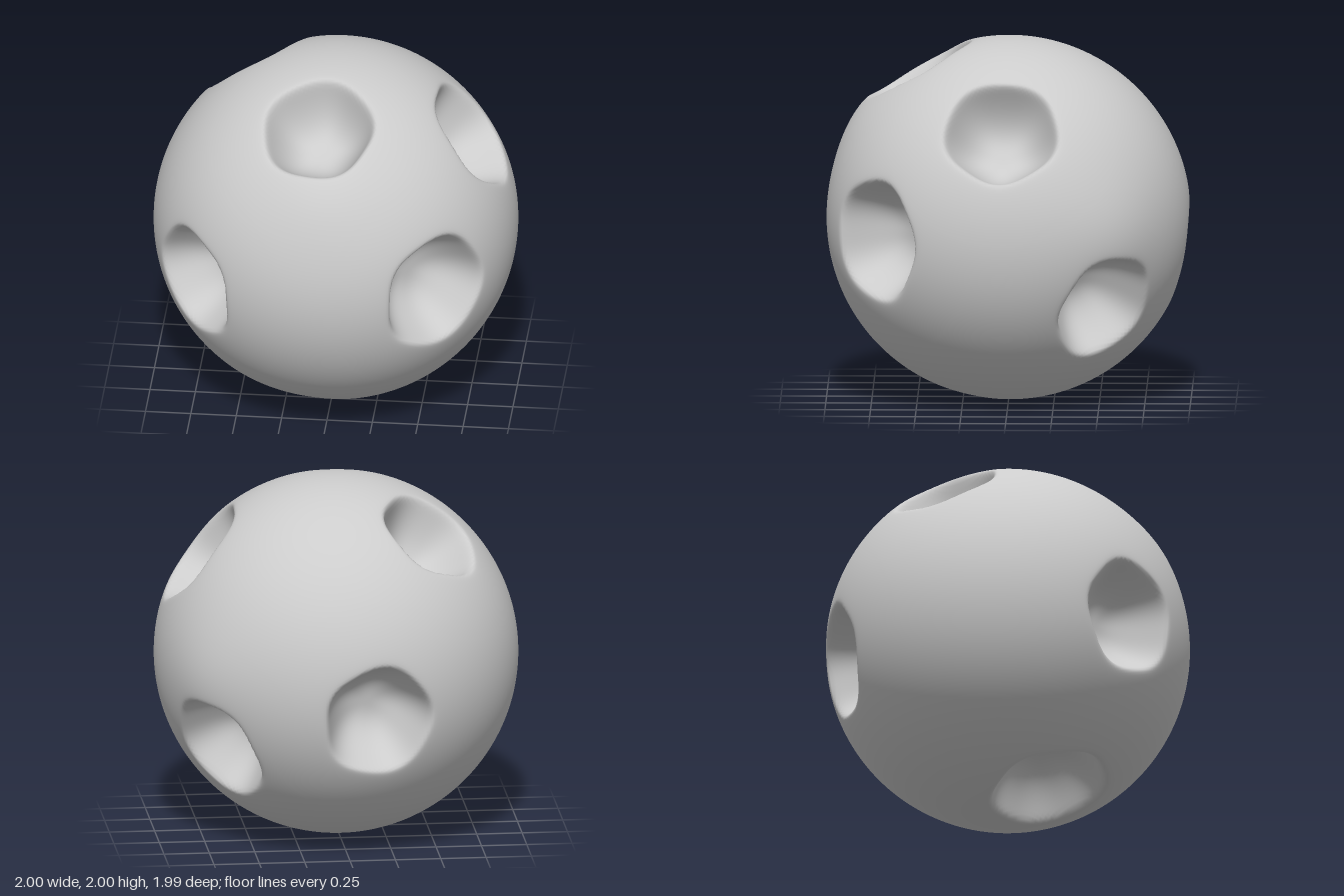
import * as THREE from 'three';
import { mergeVertices } from 'three/addons/utils/BufferGeometryUtils.js';

// Crater direction (x, y, z), half width, half height
const CRATERS = [
  [0.64, -0.04, 0.74, 0.31, 0.33],
  [0.77, 0.59, 0.03, 0.31, 0.31],
  [-0.76, -0.1, 0.65, 0.3, 0.31],
  [-0.05, 0.83, 0.5, 0.3, 0.31],
  [-0.5, 0.77, -0.39, 0.285, 0.285],
  [0.73, -0.415, -0.56, 0.28, 0.305],
  [-0.18, -0.95, 0.23, 0.33, 0.32],
  [-0.15, -0.17, -0.98, 0.295, 0.31],
];
// Gentle swells of the ball: direction (x, y, z), height
const SWELLS = [
  [0, 0.6, 0.8, 0.025],
  [0.8, 0, -0.6, 0.02],
];
const DEPTH = 0.33;

function makeCrater([x, y, z, width, height], i) {
  const dir = new THREE.Vector3(x, y, z).normalize();
  const side = new THREE.Vector3(0, 1, 0).cross(dir).normalize();
  const up = dir.clone().cross(side);
  return { dir, side, up, width, height, phase: i * 1.7 };
}

// How far the surface sinks along the crater axis at unit direction p
function sink(p, c) {
  const dist = p.distanceTo(c.dir);
  if (dist > 0.65) return 0;
  const angle = Math.atan2(p.dot(c.up), p.dot(c.side));
  const radius = Math.hypot(c.width * Math.cos(angle), c.height * Math.sin(angle));
  // slightly five-sided rim
  const t = dist / (radius * (1 + 0.025 * Math.cos(5 * angle + c.phase)));
  // round bowl with a softened rim
  const s = 1 - t ** 2.6;
  return DEPTH * (s + Math.sqrt(s * s + 0.012)) / 2;
}

export function createModel() {
  const group = new THREE.Group();
  group.name = 'crateredBall';
  const craters = CRATERS.map(makeCrater);
  const swells = SWELLS.map(([x, y, z, height]) => ({ dir: new THREE.Vector3(x, y, z), height }));

  // Ball with swells, and every vertex pushed in by the craters
  let geometry = new THREE.IcosahedronGeometry(1, 72);
  geometry.deleteAttribute('uv');
  geometry.deleteAttribute('normal');
  geometry = mergeVertices(geometry, 1e-5);
  const pos = geometry.attributes.position;
  const p = new THREE.Vector3();
  const moved = new THREE.Vector3();
  for (let i = 0; i < pos.count; i++) {
    p.fromBufferAttribute(pos, i).normalize();
    moved.copy(p);
    for (const s of swells) {
      moved.addScaledVector(p, s.height * Math.exp(-p.distanceToSquared(s.dir) / 0.08));
    }
    for (const c of craters) moved.addScaledVector(c.dir, -sink(p, c));
    pos.setXYZ(i, moved.x, moved.y, moved.z);
  }
  geometry.computeVertexNormals();

  // Rest on the ground
  geometry.computeBoundingBox();
  geometry.translate(0, -geometry.boundingBox.min.y, 0);

  const ball = new THREE.Mesh(geometry, new THREE.MeshStandardMaterial({ color: 0xcccccc }));
  ball.name = 'ball';
  group.add(ball);
  return group;
}
